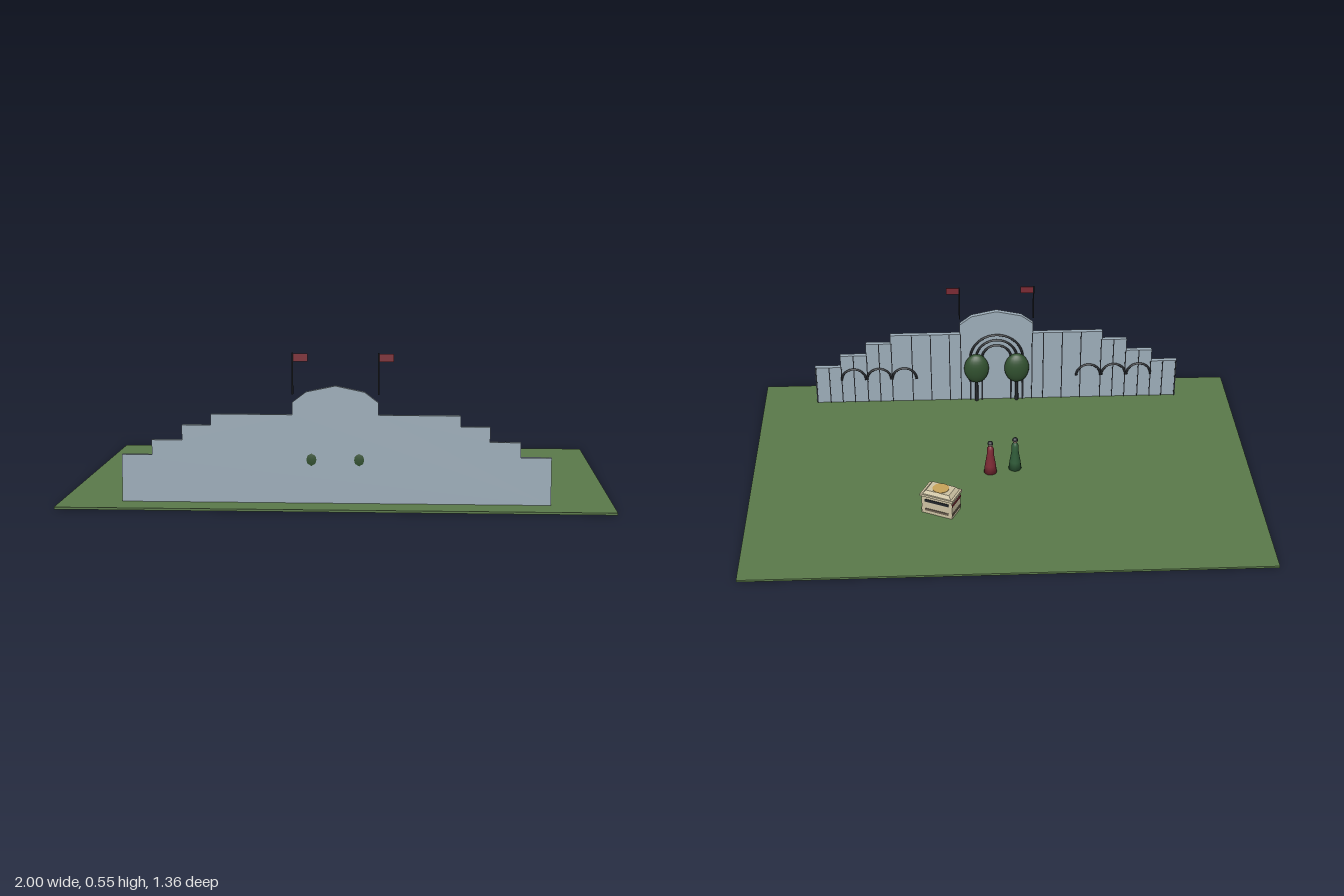
import * as THREE from 'three';

const mat = (name, color) => Object.assign(new THREE.MeshStandardMaterial({ color }), { name });

export function createModel() {
  const root = new THREE.Group();
  const grass = mat('grass green', 0x5b7a4a);
  const wallBlue = mat('wall blue grey', 0x9dadb9);
  const iron = mat('dark iron', 0x23262a);
  const red = mat('deep red', 0x7c2a34);
  const leaf = mat('leaf green', 0x31502f);
  const robe = mat('robe green', 0x2f5a38);
  const cream = mat('cream stone', 0xcfc4a4);
  const gold = mat('gold', 0xc9a45a);
  const brown = mat('brown trim', 0x6e6152);
  const skin = mat('skin', 0xb89a86);

  const add = (parent, name, geo, m, x = 0, y = 0, z = 0) => {
    const mesh = new THREE.Mesh(geo, m);
    mesh.name = name;
    mesh.position.set(x, y, z);
    parent.add(mesh);
    return mesh;
  };
  const group = (name, x = 0, y = 0, z = 0, parent = root) => {
    const g = new THREE.Group();
    g.name = name;
    g.position.set(x, y, z);
    parent.add(g);
    return g;
  };
  const box = (w, h, d) => new THREE.BoxGeometry(w, h, d);
  const G = 0.008; // lawn surface

  add(root, 'lawn', box(2, G, 1.36), grass, 0, G / 2, 0);

  // Stepped wall with a curved crest
  const half = [[0.775, G], [0.775, 0.18], [0.665, 0.18], [0.665, 0.235], [0.555, 0.235],
    [0.555, 0.29], [0.45, 0.29], [0.45, 0.33], [0.155, 0.33], [0.155, 0.375], [0.105, 0.413]];
  const outline = [...half, [0, 0.435], ...half.map(([x, y]) => [-x, y]).reverse()];
  const wall = group('wall');
  const wallShape = new THREE.Shape(outline.map(([x, y]) => new THREE.Vector2(x, y)));
  add(wall, 'steppedWall', new THREE.ExtrudeGeometry(wallShape, { depth: 0.02, bevelEnabled: false }), wallBlue, 0, 0, 0.54);

  // Narrow ribs on the inner face
  const ribs = [[0.771, 0.18], [0.715, 0.18], [0.663, 0.18], [0.61, 0.235], [0.553, 0.235], [0.5, 0.29],
    [0.447, 0.29], [0.36, 0.33], [0.28, 0.33], [0.2, 0.33], [0.152, 0.33]];
  for (const s of [-1, 1]) {
    for (const [x, top] of ribs) {
      add(wall, 'wallRib', box(0.004, top - G, 0.003), iron, s * x, (top + G) / 2, 0.5388);
    }
  }

  // Iron arches: three low ones on each side, nested ones in the middle
  const arch = (r, tube, x, y) => add(wall, 'ironArch', new THREE.TorusGeometry(r, tube, 6, 20, Math.PI), iron, x, y, 0.538);
  for (const s of [-1, 1]) {
    for (let i = 0; i < 3; i++) arch(0.052, 0.005, s * (0.395 + i * 0.108), 0.118);
  }
  for (const r of [0.062, 0.087, 0.112]) {
    arch(r, 0.005, 0, 0.212);
    for (const s of [-1, 1]) {
      add(wall, 'archLeg', box(0.007, 0.212 - G, 0.006), iron, s * r, (0.212 + G) / 2, 0.538);
    }
  }

  for (const s of [-1, 1]) {
    // Clipped trees
    const tree = group('tree', s * 0.086, 0, 0.531);
    add(tree, 'trunk', new THREE.CylinderGeometry(0.006, 0.008, 0.12, 8), iron, 0, 0.066, 0);
    add(tree, 'foliage', new THREE.SphereGeometry(1, 20, 14), leaf, 0, 0.167, 0).scale.set(0.053, 0.068, 0.031);

    // Flags, both flying towards +x
    const flag = group('flag', s * 0.155, 0, 0.541);
    add(flag, 'flagPole', new THREE.CylinderGeometry(0.003, 0.003, 0.15, 8), iron, 0, 0.477, 0);
    add(flag, 'flagCloth', box(0.053, 0.029, 0.003), red, 0.028, 0.535, 0);
  }

  // Two robed figures
  const robeProfile = [[0, 0], [0.026, 0], [0.022, 0.035], [0.014, 0.085], [0.014, 0.11], [0.006, 0.125], [0, 0.126]]
    .map(([r, y]) => new THREE.Vector2(r, y));
  for (const [name, m, x, z] of [['greenFigure', robe, -0.053, 0.004], ['redFigure', red, 0.047, -0.018]]) {
    const f = group(name, x, G, z);
    add(f, 'robe', new THREE.LatheGeometry(robeProfile, 16), m);
    add(f, 'head', new THREE.SphereGeometry(0.0105, 14, 10), skin, 0, 0.132, 0);
    add(f, 'hair', new THREE.SphereGeometry(0.0115, 14, 8, 0, Math.PI * 2, 0, Math.PI * 0.55), iron, 0, 0.1345, 0);
  }

  // Stone kiosk turned on the lawn
  const kiosk = group('kiosk', 0.247, G, -0.274);
  kiosk.rotation.y = -0.445;
  add(kiosk, 'body', box(0.128, 0.078, 0.08), cream, 0, 0.039, 0);
  add(kiosk, 'cornice', box(0.138, 0.01, 0.09), cream, 0, 0.083, 0);
  const roof = add(kiosk, 'roof', new THREE.CylinderGeometry(0.8, 1, 0.014, 4, 1).rotateY(Math.PI / 4).toNonIndexed(), cream, 0, 0.095, 0);
  roof.geometry.computeVertexNormals();
  roof.scale.set(0.086, 1, 0.056);
  add(kiosk, 'goldDisc', new THREE.CylinderGeometry(0.032, 0.032, 0.003, 24), gold, 0, 0.1025, 0);
  for (const s of [-1, 1]) {
    add(kiosk, 'endStripe', box(0.003, 0.01, 0.078), red, s * 0.0645, 0.06, 0);
    add(kiosk, 'endTrim', box(0.003, 0.01, 0.078), brown, s * 0.0645, 0.018, 0);
    add(kiosk, 'sideOpening', box(0.1, 0.012, 0.003), iron, 0, 0.06, s * 0.0405);
    add(kiosk, 'sideTrim', box(0.1, 0.01, 0.003), brown, 0, 0.018, s * 0.0405);
  }
  return root;
}
